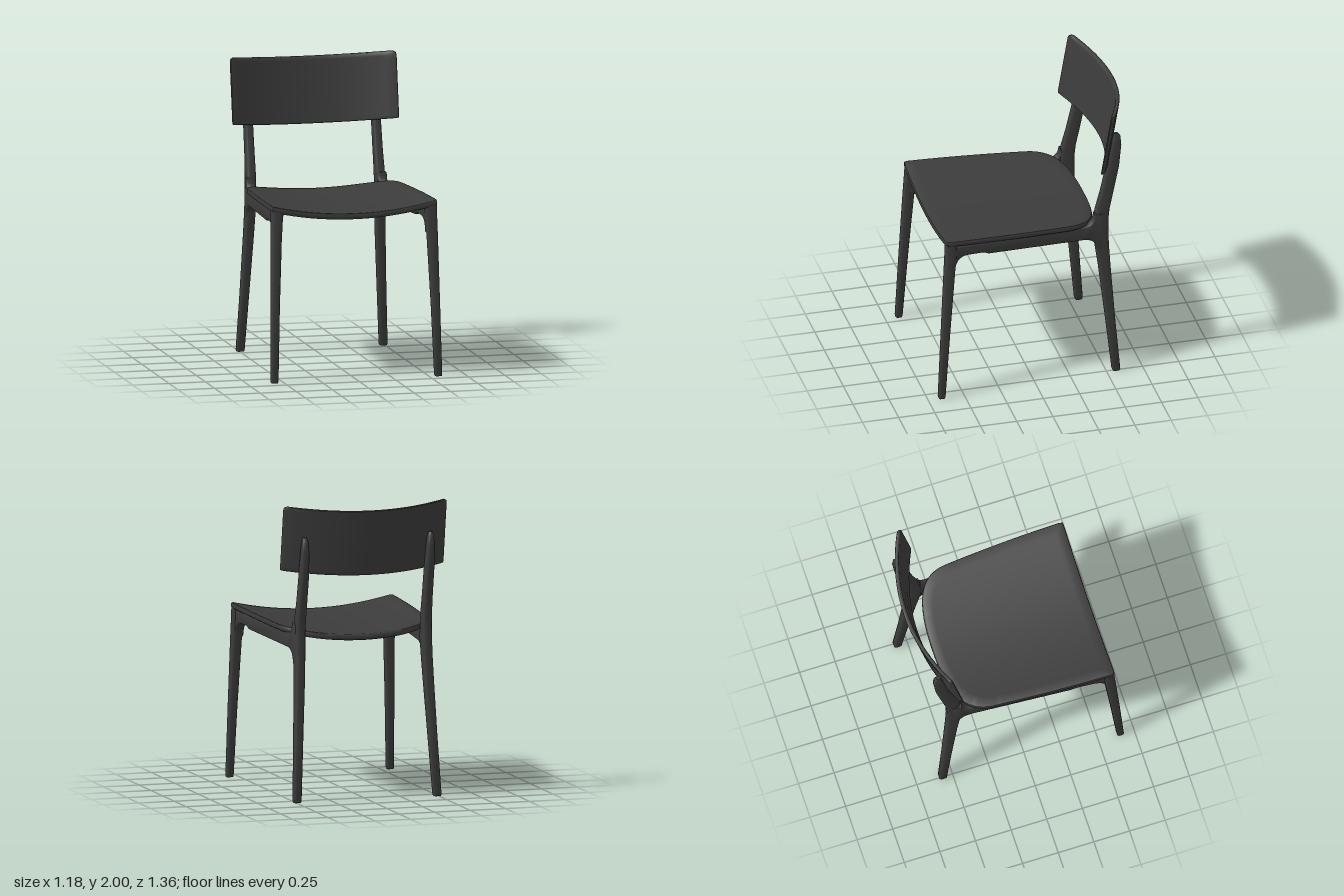
import * as THREE from 'three';
import { toCreasedNormals } from 'three/addons/utils/BufferGeometryUtils.js';

const material = new THREE.MeshStandardMaterial({ color: 0x3c3c3c });

// Closed skin through equal-length rings, ordered from the outer face's centre to the far side
function skin(rings) {
  const n = rings[0].length, pos = [], index = [];
  rings.forEach(ring => ring.forEach(p => pos.push(p.x, p.y, p.z)));
  for (let k = 0; k < rings.length - 1; k++) {
    for (let i = 0; i < n; i++) {
      const j = (i + 1) % n;
      const a = k * n + i, b = k * n + j, c = a + n, d = b + n;
      index.push(a, c, d, a, d, b);
    }
  }
  const g = new THREE.BufferGeometry();
  g.setAttribute('position', new THREE.Float32BufferAttribute(pos, 3));
  g.setIndex(index);
  return toCreasedNormals(g, 0.7);
}

// Thin panel with softened edges: a flat outline bent by map(u, v, h)
function panel(shape, centre, thickness, map) {
  const outline = shape.getSpacedPoints(160).slice(0, -1);
  const t = thickness / 2, profile = [];
  for (let s = 0; s < 8; s++) profile.push([s / 8, t]);
  profile.push([0.98, t], [0.994, t * 0.8], [1, t * 0.4]);
  const back = profile.map(([s, h]) => [s, -h]).reverse();
  return skin([...profile, ...back].map(([s, h]) => outline.map(p => {
    const q = p.clone().sub(centre).multiplyScalar(s).add(centre);
    return map(q.x, q.y, h);
  })));
}

// Leg through soft-cornered sections [y, xMin, xMax, zMin, zMax], listed top to bottom
function leg(sections) {
  const ring = ([y, x0, x1, z0, z1], s) => Array.from({ length: 24 }, (_, i) => {
    const a = (i / 24) * Math.PI * 2, c = Math.cos(a), d = Math.sin(a);
    const soft = v => Math.sign(v) * Math.sqrt(Math.abs(v)) * s / 2;
    return new THREE.Vector3((x0 + x1) / 2 + soft(c) * (x1 - x0), y, (z0 + z1) / 2 - soft(d) * (z1 - z0));
  });
  const last = sections[sections.length - 1];
  return skin([ring(sections[0], 0), ...sections.map(s => ring(s, 1)), ring(last, 0)]);
}

function seatGeometry() {
  // Drawn with v = -z: straight front, tapering sides, rounded back
  const s = new THREE.Shape();
  s.moveTo(0, -0.62);
  s.lineTo(0.555, -0.62);
  s.quadraticCurveTo(0.57, -0.62, 0.57, -0.6);
  s.quadraticCurveTo(0.565, -0.2, 0.53, 0.21);
  s.bezierCurveTo(0.515, 0.4, 0.38, 0.48, 0, 0.48);
  s.bezierCurveTo(-0.38, 0.48, -0.515, 0.4, -0.53, 0.21);
  s.quadraticCurveTo(-0.565, -0.2, -0.57, -0.6);
  s.quadraticCurveTo(-0.57, -0.62, -0.555, -0.62);
  s.lineTo(0, -0.62);
  return panel(s, new THREE.Vector2(0, -0.05), 0.042, (u, v, h) =>
    new THREE.Vector3(u, 1.1 + 0.07 * (u / 0.57) ** 2 - 0.016 * (v + 0.62) + h, -v));
}

function backrestGeometry() {
  const w = 0.573, y0 = 1.52, y1 = 1.965, r = 0.03, q = 0.008;
  const s = new THREE.Shape();
  s.moveTo(0, y0);
  s.lineTo(w - q, y0);
  s.quadraticCurveTo(w, y0, w, y0 + q);
  s.lineTo(w, y1 - r);
  s.quadraticCurveTo(w, y1, w - r, y1);
  s.lineTo(r - w, y1);
  s.quadraticCurveTo(-w, y1, -w, y1 - r);
  s.lineTo(-w, y0 + q);
  s.quadraticCurveTo(-w, y0, q - w, y0);
  s.lineTo(0, y0);
  // Wraps forward at the ends and leans backward
  return panel(s, new THREE.Vector2(0, 1.74), 0.028, (u, v, h) => {
    const k = (u / w) ** 2;
    return new THREE.Vector3(u, v + 0.037 * k, -0.594 + 0.14 * k - 0.168 * (v - y0) + h);
  });
}

function railGeometry() {
  // Side profile drawn with horizontal = -z, with fillets into both legs
  const s = new THREE.Shape();
  s.moveTo(-0.585, 1.13);
  s.lineTo(-0.585, 0.97);
  s.lineTo(-0.565, 0.97);
  s.quadraticCurveTo(-0.555, 1.065, -0.47, 1.07);
  s.lineTo(-0.39, 1.07);
  s.quadraticCurveTo(-0.35, 1.07, -0.32, 1.053);
  s.lineTo(0.34, 1.03);
  s.quadraticCurveTo(0.44, 1.03, 0.455, 0.93);
  s.lineTo(0.48, 0.93);
  s.lineTo(0.48, 1.19);
  s.lineTo(0.435, 1.19);
  s.quadraticCurveTo(0.43, 1.125, 0.37, 1.11);
  s.lineTo(-0.2, 1.12);
  s.lineTo(-0.585, 1.13);
  const g = new THREE.ExtrudeGeometry(s, {
    depth: 0.036, bevelEnabled: true, bevelThickness: 0.013, bevelSize: 0.01, bevelSegments: 3, curveSegments: 8,
  });
  g.translate(0, 0, -0.018).rotateY(Math.PI / 2);
  // Splay the rail outward toward the front
  const p = g.attributes.position;
  for (let i = 0; i < p.count; i++) {
    p.setX(i, p.getX(i) + 0.45 + 0.075 * (p.getZ(i) + 0.47));
  }
  return toCreasedNormals(g, 0.7);
}

export function createModel() {
  const chair = new THREE.Group();
  chair.name = 'chair';
  const add = (parent, name, geometry) => {
    const mesh = new THREE.Mesh(geometry, material);
    mesh.name = name;
    parent.add(mesh);
  };

  add(chair, 'seat', seatGeometry());
  add(chair, 'backrest', backrestGeometry());

  const frontLeg = leg([
    [1.155, 0.485, 0.569, 0.545, 0.618],
    [1.08, 0.493, 0.57, 0.547, 0.622],
    [0.95, 0.502, 0.573, 0.558, 0.63],
    [0.5, 0.522, 0.581, 0.594, 0.654],
    [0.012, 0.538, 0.589, 0.63, 0.678],
    [0, 0.542, 0.586, 0.634, 0.675],
  ]);
  // The back leg bends at the seat and thins out behind the backrest
  const backLeg = leg([
    [1.79, 0.432, 0.452, -0.595, -0.565],
    [1.77, 0.424, 0.46, -0.61, -0.56],
    [1.7, 0.416, 0.466, -0.616, -0.548],
    [1.54, 0.411, 0.469, -0.6, -0.515],
    [1.35, 0.411, 0.471, -0.561, -0.472],
    [1.22, 0.411, 0.475, -0.533, -0.437],
    [1.15, 0.412, 0.477, -0.526, -0.424],
    [1.05, 0.412, 0.479, -0.525, -0.42],
    [0.95, 0.414, 0.481, -0.528, -0.435],
    [0.8, 0.42, 0.486, -0.537, -0.456],
    [0.4, 0.442, 0.502, -0.564, -0.5],
    [0.012, 0.464, 0.52, -0.595, -0.54],
    [0, 0.468, 0.516, -0.591, -0.544],
  ]);
  const rail = railGeometry();

  // Mirrored side frames
  for (const side of [1, -1]) {
    const frame = new THREE.Group();
    frame.name = side > 0 ? 'leftFrame' : 'rightFrame';
    frame.scale.x = side;
    add(frame, 'frontLeg', frontLeg);
    add(frame, 'backLeg', backLeg);
    add(frame, 'sideRail', rail);
    chair.add(frame);
  }
  return chair;
}
